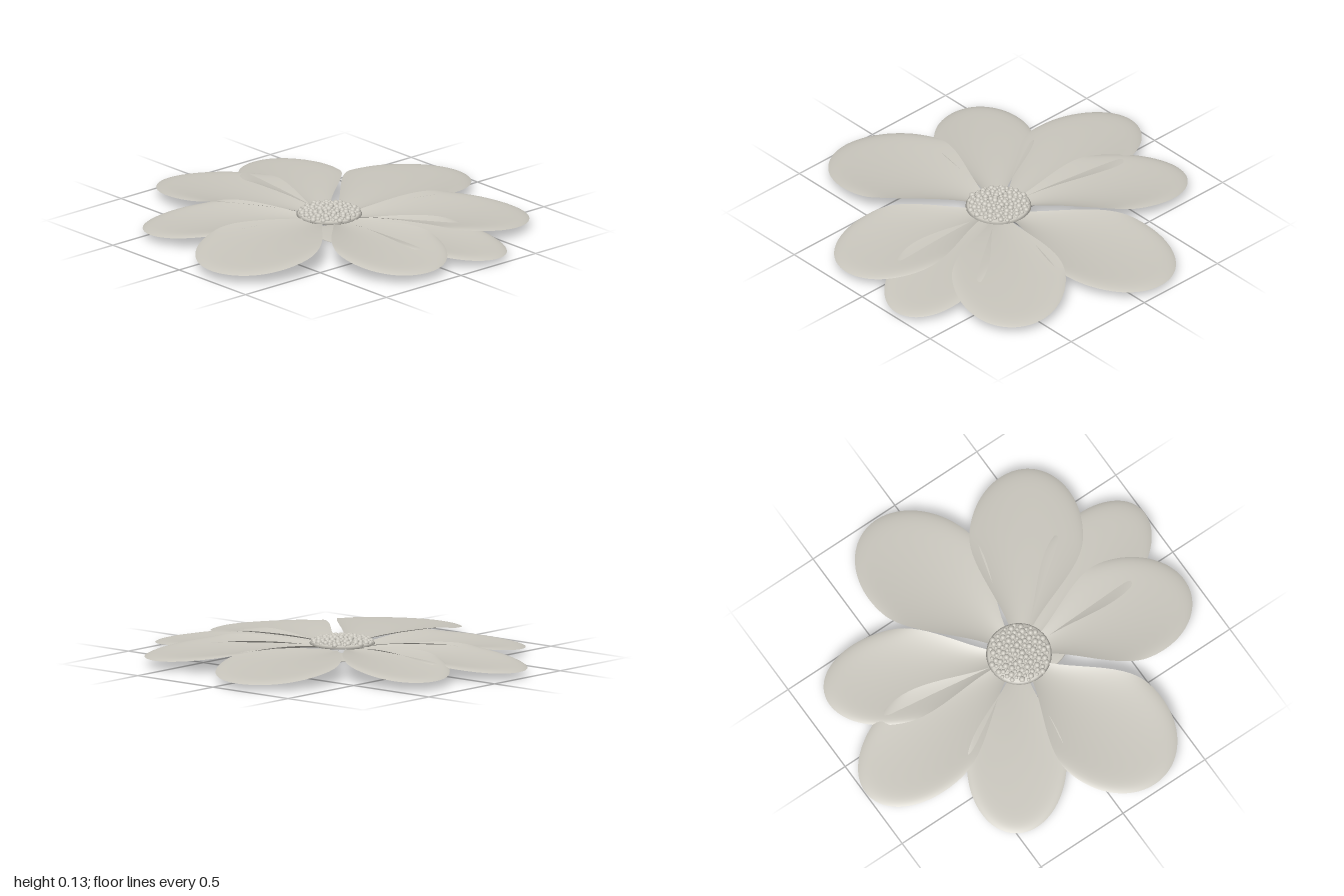
import * as THREE from 'three';

const CX = -0.03, CZ = 0.04; // flower heart

// One cupped petal: narrow base, elliptical tip, side edges lifted, rim curled down
function petalGeometry(tipX, tipZ, W, h) {
  const NU = 36, NV = 24, mid = 0.62;
  const dx = tipX - CX, dz = tipZ - CZ, len = Math.hypot(dx, dz);
  const ax = dx / len, az = dz / len;
  const pos = [], index = [];
  for (let i = 0; i <= NU; i++) {
    const s = 0.08 + 0.92 * Math.sin((i / NU) * Math.PI / 2);
    const tip = Math.max(0, (s - mid) / (1 - mid));
    const w = s > mid
      ? W * Math.sqrt(Math.max(0, 1 - tip * tip))
      : 0.02 + (W - 0.02) * THREE.MathUtils.smoothstep(s, 0, mid);
    const bell = Math.pow(Math.sin(Math.PI * Math.pow(s, 0.85)), 1.5);
    for (let j = 0; j <= NV; j++) {
      const v = Math.sin((j / NV - 0.5) * Math.PI);
      const q = Math.min(1, Math.hypot(v * w / W, tip));
      const curl = 0.014 * Math.pow(q, 12) * THREE.MathUtils.smoothstep(s, 0.4, 0.7);
      const y = h + 0.012 * Math.sin(Math.PI * s) - 0.008 * s + 0.034 * bell * v * v - curl;
      pos.push(CX + ax * s * len - az * v * w, y, CZ + az * s * len + ax * v * w);
    }
  }
  for (let i = 0; i < NU; i++) for (let j = 0; j < NV; j++) {
    const a = i * (NV + 1) + j, b = a + NV + 1;
    index.push(a, a + 1, b, b, a + 1, b + 1);
  }
  const g = new THREE.BufferGeometry();
  g.setAttribute('position', new THREE.Float32BufferAttribute(pos, 3));
  g.setIndex(index);
  g.computeVertexNormals();
  return g;
}

export function createModel() {
  const group = new THREE.Group();
  const stone = new THREE.MeshStandardMaterial({ color: 0xc8c5bc, side: THREE.DoubleSide });
  stone.name = 'warm grey';
  const add = (geometry, name, parent = group) => {
    const mesh = new THREE.Mesh(geometry, stone);
    mesh.name = name;
    parent.add(mesh);
    return mesh;
  };

  // Petals: tip x, tip z, half width, height
  const petals = new THREE.Group();
  petals.name = 'petals';
  group.add(petals);
  [
    [-0.21, -1.0, 0.265, 0.057],
    [0.37, -0.87, 0.25, 0.063],
    [0.975, -0.18, 0.305, 0.054],
    [0.76, 0.66, 0.285, 0.063],
    [0.29, 0.99, 0.235, 0.052],
    [-0.21, 0.95, 0.28, 0.066],
    [-0.97, 0.27, 0.31, 0.068],
    [-0.79, -0.51, 0.25, 0.056],
  ].forEach(([x, z, w, h], i) => add(petalGeometry(x, z, w, h), `petal${i + 1}`, petals));

  // Domed seed disc
  const profile = [[0, 0.075], [0.15, 0.075], [0.165, 0.083], [0.155, 0.093], [0.1, 0.106], [0, 0.112]]
    .map(([r, y]) => new THREE.Vector2(r, y));
  add(new THREE.LatheGeometry(profile, 40), 'seedDisc').position.set(CX, 0, CZ);

  // Seeds in a spiral over the disc
  const seeds = new THREE.Group();
  seeds.name = 'seeds';
  group.add(seeds);
  const seed = new THREE.SphereGeometry(1, 12, 8);
  const count = 120;
  for (let i = 0; i < count; i++) {
    const r = 0.152 * Math.sqrt((i + 0.5) / count), a = i * 2.39996;
    const m = add(seed, 'seed', seeds);
    m.position.set(CX + r * Math.cos(a), 0.113 - 0.9 * r * r, CZ + r * Math.sin(a));
    m.scale.setScalar(0.0125 + 0.0035 * Math.sin(i * 1.7));
  }

  // Thin leaf beneath the flower
  const leaf = add(new THREE.SphereGeometry(1, 32, 6, 0, Math.PI * 2, 0, Math.PI / 2), 'baseLeaf');
  leaf.scale.set(0.13, 0.008, 0.175);
  leaf.position.set(-0.03, 0, 0.155);

  return group;
}
